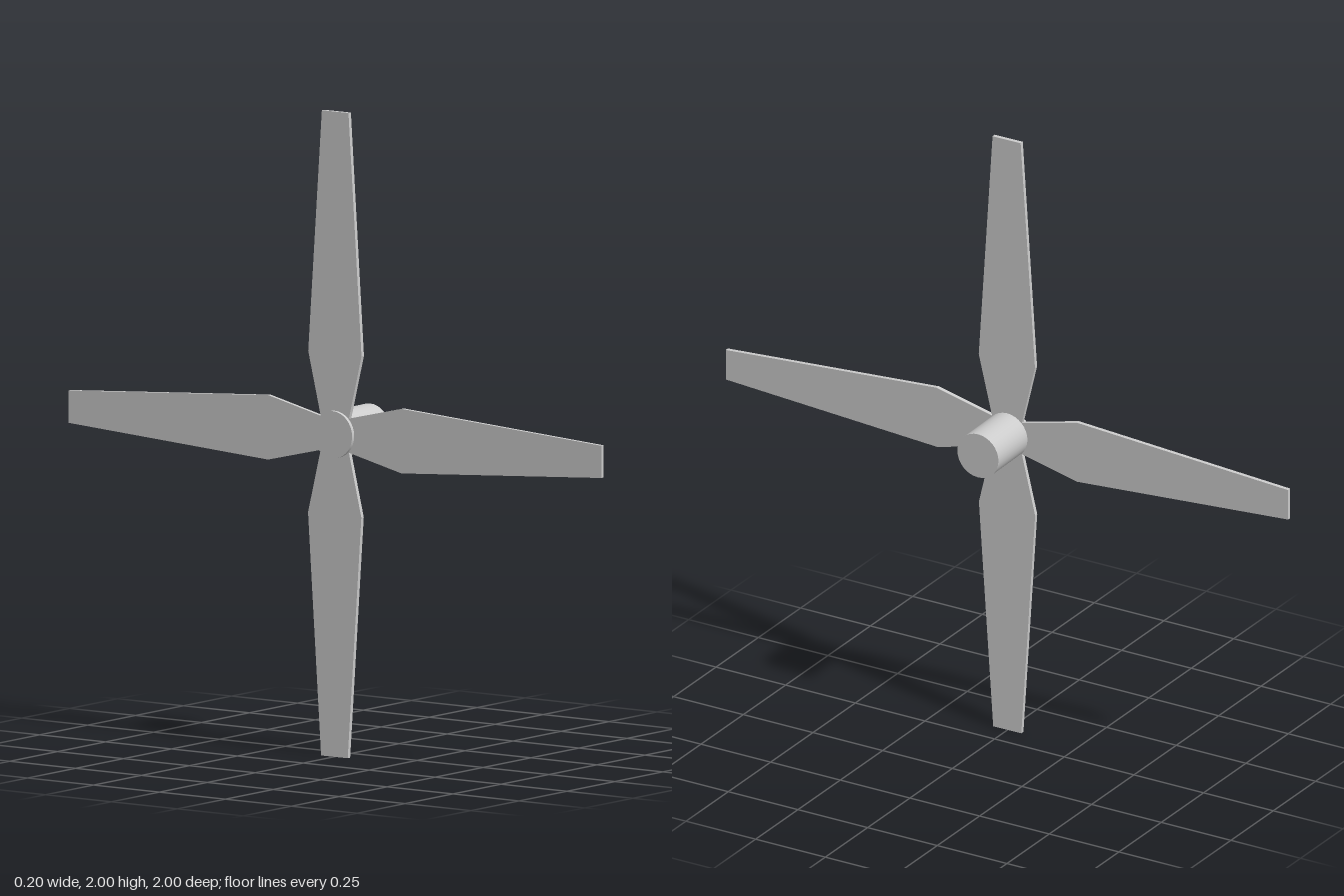
import * as THREE from 'three';

const material = new THREE.MeshStandardMaterial({ color: 0xcccccc });

// Four joined blades: each narrows to the root and tapers to a square tip
function bladeGeometry(thickness) {
  const profile = [[0.053, -0.053], [0.25, -0.1], [1, -0.05], [1, 0.05], [0.25, 0.1]];
  const points = [];
  for (let i = 0; i < 4; i++) {
    for (const [r, w] of profile) {
      points.push(new THREE.Vector2(r, w).rotateAround(new THREE.Vector2(), i * Math.PI / 2));
    }
  }
  const geometry = new THREE.ExtrudeGeometry(new THREE.Shape(points), { depth: thickness, bevelEnabled: false });
  return geometry.translate(0, 0, -thickness / 2).rotateY(Math.PI / 2);
}

export function createModel() {
  const model = new THREE.Group();
  model.name = 'propeller';

  const rotor = new THREE.Group();
  rotor.name = 'rotor';
  rotor.position.y = 1;
  // The rotor sits very slightly askew
  rotor.rotation.set(0, 0.015, -0.002);
  model.add(rotor);

  const blades = new THREE.Mesh(bladeGeometry(0.013), material);
  blades.name = 'blades';
  blades.position.x = -0.081;
  rotor.add(blades);

  // Hub shaft along x, its rear cap just proud of the blades
  const left = -0.099, right = 0.101;
  const hub = new THREE.Mesh(
    new THREE.CylinderGeometry(0.073, 0.073, right - left, 32).rotateZ(Math.PI / 2), material);
  hub.name = 'hub';
  hub.position.x = (left + right) / 2;
  rotor.add(hub);

  return model;
}
